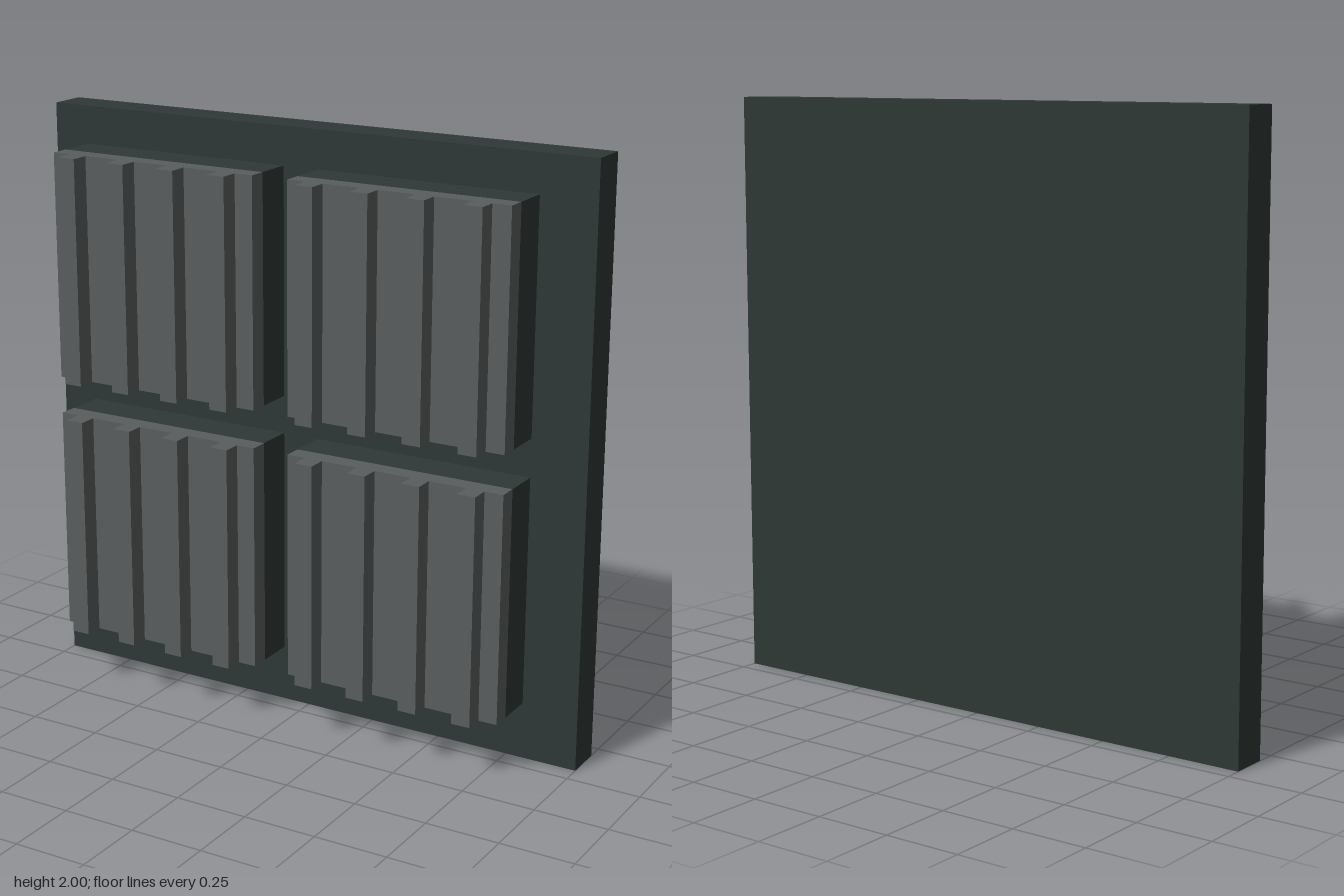
import * as THREE from 'three';

const U = 2 / 31; // modular unit: the plate is 31 units square

export function createModel() {
  const group = new THREE.Group();
  const dark = new THREE.MeshStandardMaterial({ color: 0x2e3836 });
  dark.name = 'dark slate';
  const grey = new THREE.MeshStandardMaterial({ color: 0x5a5d5d });
  grey.name = 'mid grey';

  const add = (parent, name, geometry, material, x, y, z) => {
    const mesh = new THREE.Mesh(geometry, material);
    mesh.name = name;
    mesh.position.set(x * U, y * U, z * U);
    parent.add(mesh);
  };

  // Upright backing plate
  add(group, 'backPlate', new THREE.BoxGeometry(31 * U, 31 * U, 2 * U), dark, 0, 15.5, -2);

  // Ribbed facing: a comb outline (x, depth) extruded along the panel height
  const comb = new THREE.Shape();
  comb.moveTo(-6 * U, 0);
  comb.lineTo(6 * U, 0);
  comb.lineTo(6 * U, -U);
  for (let i = 3; i >= 0; i--) {
    const left = -5 + 3 * i;
    comb.lineTo((left + 1) * U, -U);
    comb.lineTo((left + 1) * U, -2 * U);
    comb.lineTo(left * U, -2 * U);
    comb.lineTo(left * U, -U);
  }
  comb.lineTo(-6 * U, -U);
  comb.closePath();
  const facing = new THREE.ExtrudeGeometry(comb, { depth: 12 * U, bevelEnabled: false });
  facing.rotateX(-Math.PI / 2);
  const block = new THREE.BoxGeometry(12 * U, 12 * U, 2 * U);

  // Four raised panels, set slightly towards the right
  for (const [row, bottom] of [['lower', 3], ['upper', 17]]) {
    for (const [side, x] of [['Right', -7.5], ['Left', 6.5]]) {
      const panel = new THREE.Group();
      panel.name = row + side + 'Panel';
      add(panel, 'panelBlock', block, dark, x, bottom + 6, 0);
      add(panel, 'ribbedFacing', facing, grey, x, bottom, 1);
      group.add(panel);
    }
  }
  return group;
}
